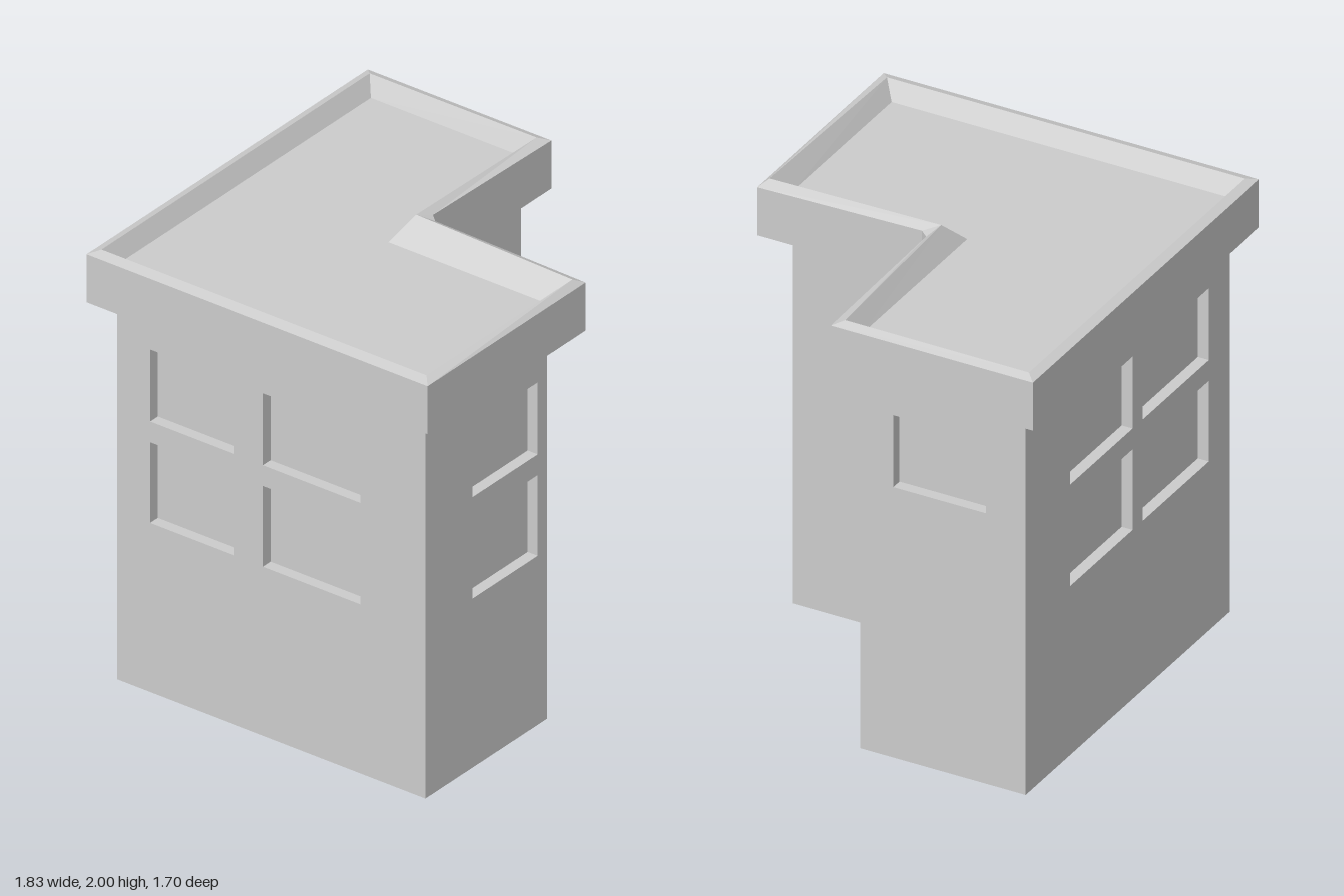
import * as THREE from 'three';

const material = new THREE.MeshStandardMaterial({ color: 0xcccccc, flatShading: true });
const WALL_TOP = 1.74;
const RECESS = 0.05;

function addMesh(parent, name, geometry) {
  const mesh = new THREE.Mesh(geometry, material);
  mesh.name = name;
  parent.add(mesh);
  return mesh;
}

// Horizontal polygon from [x, z] points, facing up or down
function slab(points, y, up) {
  const shape = new THREE.Shape(points.map(([x, z]) => new THREE.Vector2(x, up ? -z : z)));
  return new THREE.ShapeGeometry(shape).rotateX(up ? -Math.PI / 2 : Math.PI / 2).translate(0, y, 0);
}

// Skin through closed rings of [x, y, z] points
function loft(rings) {
  const n = rings[0].length;
  const index = [];
  for (let r = 0; r < rings.length - 1; r++) {
    for (let i = 0; i < n; i++) {
      const a = r * n + i, b = r * n + (i + 1) % n;
      index.push(a, b, b + n, a, b + n, a + n);
    }
  }
  const geometry = new THREE.BufferGeometry();
  geometry.setAttribute('position', new THREE.Float32BufferAttribute(rings.flat(2), 3));
  geometry.setIndex(index);
  const flat = geometry.toNonIndexed();
  flat.computeVertexNormals();
  return flat;
}

// Open-fronted box seen from inside
function pocket(width, height) {
  const box = new THREE.BoxGeometry(width, height, RECESS);
  const kept = [...box.index.array].filter((_, i) => i < 24 || i >= 30);
  box.setIndex(kept.reverse());
  box.clearGroups();
  const flat = box.toNonIndexed();
  flat.computeVertexNormals();
  return flat;
}

// Wall from a to b with recessed windows [u0, u1, y0, y1]
function wall(name, a, b, windows) {
  const group = new THREE.Group();
  group.name = name;
  const dx = b[0] - a[0], dz = b[1] - a[1], length = Math.hypot(dx, dz);
  const rect = (Type, u0, u1, y0, y1) => new Type([
    new THREE.Vector2(u0, y0), new THREE.Vector2(u1, y0),
    new THREE.Vector2(u1, y1), new THREE.Vector2(u0, y1),
  ]);
  const face = rect(THREE.Shape, 0, length, 0, WALL_TOP);
  for (const [u0, u1, y0, y1] of windows) {
    face.holes.push(rect(THREE.Path, u0, u1, y0, y1));
    addMesh(group, 'windowRecess', pocket(u1 - u0, y1 - y0))
      .position.set((u0 + u1) / 2, (y0 + y1) / 2, -RECESS / 2);
  }
  addMesh(group, 'wallFace', new THREE.ShapeGeometry(face));
  group.position.set(a[0], 0, a[1]);
  group.rotation.y = Math.atan2(-dz, dx);
  return group;
}

export function createModel() {
  const model = new THREE.Group();
  model.name = 'building';

  // L-shaped body, one wall per side of the footprint
  const footprint = [[-0.83, 0.77], [-0.04, 0.77], [-0.04, -0.02], [0.82, -0.02], [0.82, -0.77], [-0.83, -0.77]];
  const upper = (u0, u1) => [u0, u1, 1.24, 1.57];
  const lower = (u0, u1) => [u0, u1, 0.775, 1.145];
  const both = (u0, u1) => [upper(u0, u1), lower(u0, u1)];
  const walls = [
    ['frontWall', both(0.305, 0.73)],
    ['notchSideWall', []],
    ['notchBackWall', [upper(0.002, 0.51)]],
    ['leftWall', [upper(0.15, 0.57)]],
    ['backWall', [...both(0.36, 0.864), ...both(0.947, 1.48)]],
    ['rightWall', [...both(0.165, 0.585), ...both(0.73, 1.217)]],
  ];
  walls.forEach(([name, windows], i) =>
    model.add(wall(name, footprint[i], footprint[(i + 1) % 6], windows)));
  addMesh(model, 'base', slab(footprint, 0, false));

  // Roof: overhanging band, sloped rim and sunken deck; inner corner is chamfered
  const outer = [[-0.92, 0.85], [0.107, 0.85], [0.107, 0.1], [0.14, 0.063], [0.91, 0.063], [0.91, -0.853], [-0.92, -0.853]];
  const lipY = [1.96, 1.96, 1.975, 1.975, 1.96, 1.96, 1.96];
  const ridge = [[-0.875, 0.81], [0.06, 0.82], [0.068, 0.035], [0.068, 0.035], [0.87, 0.02], [0.87, -0.813], [-0.875, -0.813]];
  const ridgeY = [1.975, 1.985, 2, 2, 1.977, 1.975, 1.975];
  const deck = [[-0.827, 0.762], [-0.035, 0.762], [-0.035, -0.025], [-0.035, -0.025], [0.822, -0.025], [0.822, -0.77], [-0.827, -0.77]];
  const deckY = 1.9;
  const ring = (points, y) => points.map(([x, z], i) => [x, Array.isArray(y) ? y[i] : y, z]);
  addMesh(model, 'roofRim', loft([
    ring(outer, WALL_TOP), ring(outer, lipY), ring(ridge, ridgeY), ring(deck, deckY),
  ]));
  addMesh(model, 'roofDeck', slab(deck.filter((_, i) => i !== 3), deckY, true));
  addMesh(model, 'roofUnderside', slab(outer, WALL_TOP, false));

  // Small wedge under the front eave
  addMesh(model, 'eaveWedge', loft([
    ring([[-0.64, 0.771], [-0.13, 0.771], [-0.13, 0.76], [-0.64, 0.76]], 1.705),
    ring([[-0.67, 0.8], [-0.08, 0.8], [-0.08, 0.76], [-0.67, 0.76]], WALL_TOP),
  ]));

  return model;
}
